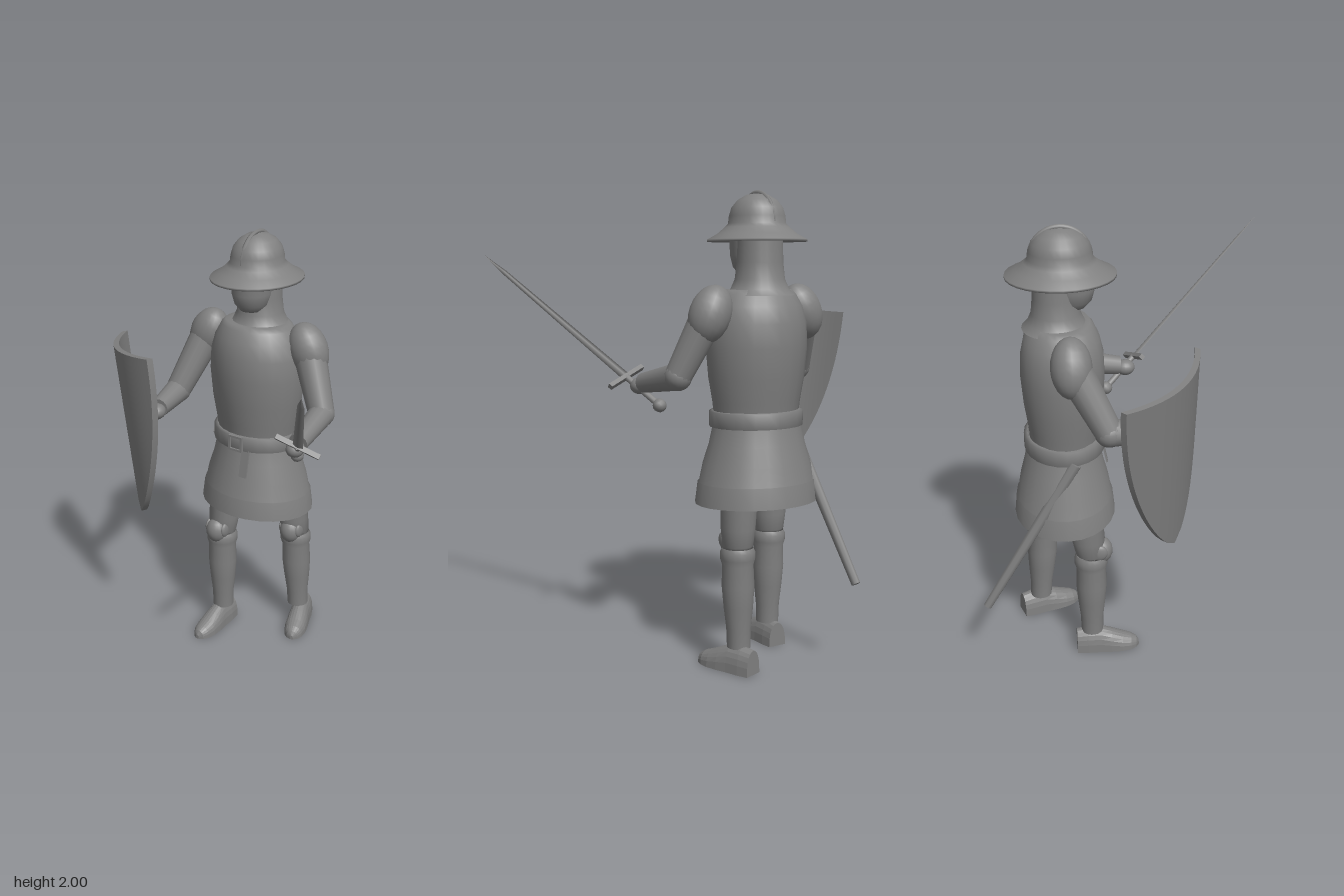
import * as THREE from 'three';

const V = (x, y, z) => new THREE.Vector3(x, y, z);

export function createModel() {
  const root = new THREE.Group();
  const steel = new THREE.MeshStandardMaterial({ color: 0x808080, side: THREE.DoubleSide });
  steel.name = 'steelGrey';

  const add = (name, geo, parent = root) => {
    const m = new THREE.Mesh(geo, steel);
    m.name = name;
    parent.add(m);
    return m;
  };
  // Turned part: profile of [radius, y], squashed along z, leaning towards its top
  const turned = (name, profile, x, z, depth = 1, leanX = 0, leanZ = 0, sides = 24) => {
    const geo = new THREE.LatheGeometry(profile.map(([r, y]) => new THREE.Vector2(r, y)), sides);
    const p = geo.attributes.position;
    const y0 = profile[0][1], h = profile[profile.length - 1][1] - y0;
    for (let i = 0; i < p.count; i++) {
      const t = (p.getY(i) - y0) / h;
      p.setXYZ(i, p.getX(i) + x + leanX * t, p.getY(i), p.getZ(i) * depth + z + leanZ * t);
    }
    return add(name, geo);
  };
  const ball = (name, c, sx, sy, sz) => {
    const m = add(name, new THREE.SphereGeometry(1, 18, 12));
    m.position.copy(c);
    m.scale.set(sx, sy, sz);
    return m;
  };
  const rod = (name, a, b, ra, rb, sides = 14) => {
    const m = add(name, new THREE.CylinderGeometry(rb, ra, a.distanceTo(b), sides));
    m.position.copy(a).lerp(b, 0.5);
    m.quaternion.setFromUnitVectors(V(0, 1, 0), b.clone().sub(a).normalize());
    return m;
  };
  const box = (name, w, h, d, x, y, z) => {
    const m = add(name, new THREE.BoxGeometry(w, h, d));
    m.position.set(x, y, z);
    return m;
  };

  const CX = -0.1, CZ = -0.295;

  // Head, mail neck and brimmed helmet
  turned('face', [[0, 1.645], [0.05, 1.65], [0.075, 1.68], [0.088, 1.73], [0.09, 1.85]], CX, -0.25, 1.12);
  turned('mailNeck', [[0.15, 1.565], [0.125, 1.59], [0.107, 1.63], [0.099, 1.7], [0.095, 1.83]], CX, -0.315, 0.95);
  const helmet = turned('helmet', [[0.192, 1.793], [0.2, 1.785], [0.2, 1.795], [0.16, 1.818], [0.13, 1.845], [0.116, 1.86],
    [0.113, 1.89], [0.103, 1.925], [0.08, 1.955], [0.045, 1.977], [0, 1.984]], CX, 0, 1.135, 0, 0, 28);
  helmet.position.z = -0.29;
  const crest = add('helmetCrest', new THREE.TorusGeometry(0.122, 0.01, 6, 24, Math.PI));
  crest.rotation.y = Math.PI / 2;
  crest.position.set(CX, 1.865, -0.29);

  // Breastplate, belt and skirt
  turned('breastplate', [[0.19, 1.04], [0.2, 1.12], [0.218, 1.22], [0.23, 1.35], [0.225, 1.45], [0.205, 1.52],
    [0.175, 1.57], [0.155, 1.588], [0.115, 1.588]], CX, CZ, 0.77);
  turned('belt', [[0.19, 1.012], [0.21, 1.015], [0.21, 1.08], [0.19, 1.083]], CX, CZ, 0.83);
  turned('skirt', [[0.28, 0.69], [0.268, 0.78], [0.262, 0.78], [0.245, 0.86], [0.218, 0.94], [0.198, 1.03]], CX, -0.302, 0.79);
  for (const s of [-1, 1]) {
    box('buckleSide', 0.01, 0.07, 0.014, CX + s * 0.032, 1.048, -0.12);
    box('buckleBar', 0.07, 0.01, 0.014, CX, 1.048 + s * 0.032, -0.12);
  }
  const strap = box('beltStrap', 0.04, 0.14, 0.008, -0.053, 0.96, -0.122);
  strap.rotation.x = -0.2;

  // Legs: the right one stands forward
  const legs = [
    { side: 'right', x: -0.235, z: -0.2, ankleX: -0.232, ankleZ: -0.2, hipX: 0.02, hipZ: -0.04, heel: [-0.238, -0.272], turn: 0 },
    { side: 'left', x: 0.06, z: -0.4, ankleX: 0.068, ankleZ: -0.425, hipX: -0.035, hipZ: 0.04, heel: [0.055, -0.515], turn: 0.33 },
  ];
  // Boot cross-sections along its length: [z, half width, height]
  const bootSections = [[0, 0.043, 0.105], [0.05, 0.049, 0.112], [0.11, 0.05, 0.112], [0.16, 0.054, 0.092],
    [0.21, 0.053, 0.07], [0.25, 0.044, 0.055], [0.275, 0.028, 0.04], [0.287, 0.008, 0.02]];
  const bootGeometry = () => {
    const n = 12, pos = [], idx = [];
    for (const [z, w, h] of bootSections)
      for (let i = 0; i <= n; i++) {
        const a = (i / n) * Math.PI;
        pos.push(w * Math.cos(a), h * Math.sin(a) ** 0.75, z);
      }
    const rows = bootSections.length, k = n + 1;
    for (let r = 0; r < rows - 1; r++)
      for (let i = 0; i < k; i++) {
        const a = r * k + i, b = r * k + (i + 1) % k;
        idx.push(a, b, a + k, b, b + k, a + k);
      }
    for (const r of [0, rows - 1])
      for (let i = 1; i < n; i++) {
        const a = r * k;
        if (r) idx.push(a, a + i, a + i + 1);
        else idx.push(a, a + i + 1, a + i);
      }
    const g = new THREE.BufferGeometry();
    g.setAttribute('position', new THREE.Float32BufferAttribute(pos, 3));
    g.setIndex(idx);
    const flat = g.toNonIndexed();
    flat.computeVertexNormals();
    return flat;
  };
  for (const l of legs) {
    turned(l.side + 'Greave', [[0.05, 0.1], [0.052, 0.18], [0.062, 0.27], [0.069, 0.36], [0.066, 0.45], [0.074, 0.475],
      [0.074, 0.505], [0.066, 0.522]], l.ankleX, l.ankleZ, 1, l.x - l.ankleX, l.z - l.ankleZ, 18);
    turned(l.side + 'Thigh', [[0.05, 0.515], [0.066, 0.53], [0.073, 0.6], [0.078, 0.7], [0.082, 0.86]], l.x, l.z, 1, l.hipX, l.hipZ, 18);
    ball(l.side + 'KneeCop', V(l.x, 0.54, l.z + 0.045), 0.052, 0.062, 0.052);
    for (const s of [-1, 1]) ball(l.side + 'KneeWing', V(l.x + s * 0.045, 0.55, l.z + 0.035), 0.015, 0.038, 0.036);
    const boot = add(l.side + 'Boot', bootGeometry());
    boot.position.set(l.heel[0], 0, l.heel[1]);
    boot.rotation.y = l.turn;
  }

  // Arms, bent forward at the elbow
  const arms = [
    { side: 'left', s: 1, shoulder: V(0.15, 1.5, -0.325), elbow: V(0.265, 1.235, -0.26), wrist: V(0.295, 1.19, -0.02), hand: V(0.3, 1.175, 0.01) },
    { side: 'right', s: -1, shoulder: V(-0.35, 1.5, -0.27), elbow: V(-0.43, 1.235, -0.13), wrist: V(-0.395, 1.215, 0.06), hand: V(-0.385, 1.21, 0.09) },
  ];
  for (const a of arms) {
    const p = ball(a.side + 'Pauldron', a.shoulder.clone().add(V(0, -0.01, 0)), 0.09, 0.125, 0.085);
    p.rotation.z = a.s * 0.4;
    rod(a.side + 'UpperArm', a.shoulder, a.elbow, 0.075, 0.058);
    ball(a.side + 'Elbow', a.elbow, 0.059, 0.059, 0.059);
    rod(a.side + 'Forearm', a.elbow, a.wrist, 0.058, 0.043);
    ball(a.side + 'Hand', a.hand, 0.04, 0.036, 0.045);
  }

  // Sword: four-sided tapering blade, crossguard, grip and pommel
  const guard = V(0.34, 1.212, 0.055), tip = V(0.735, 1.735, 0.685);
  const along = tip.clone().sub(guard), length = along.length();
  along.normalize();
  const across = V(0.185, -0.07, -0.055);
  across.addScaledVector(along, -across.dot(along)).normalize();
  const sword = new THREE.Group();
  sword.name = 'sword';
  sword.position.copy(guard);
  sword.quaternion.setFromRotationMatrix(new THREE.Matrix4().makeBasis(across, along, across.clone().cross(along)));
  root.add(sword);
  const blade = add('blade', new THREE.CylinderGeometry(0.6, 1, length * 0.85, 4), sword);
  blade.scale.set(0.007, 1, 0.024);
  blade.rotation.y = Math.PI / 2;
  blade.position.y = length * 0.425;
  const point = add('bladePoint', new THREE.ConeGeometry(0.6, length * 0.15, 4), sword);
  point.scale.set(0.007, 1, 0.024);
  point.rotation.y = Math.PI / 2;
  point.position.y = length * 0.925;
  add('crossguard', new THREE.BoxGeometry(0.205, 0.02, 0.022), sword);
  add('grip', new THREE.CylinderGeometry(0.014, 0.014, 0.2, 10), sword).position.y = -0.1;
  add('pommel', new THREE.SphereGeometry(0.03, 12, 8), sword).position.y = -0.2;

  // Curved shield: a slab tapered to a point and bowed outward
  const H = 0.79, W = 0.275;
  const slab = new THREE.BoxGeometry(2, 1, 0.026, 16, 20, 1);
  const sp = slab.attributes.position;
  for (let i = 0; i < sp.count; i++) {
    const t = 0.5 - sp.getY(i);
    const u = sp.getX(i) * Math.max(0.004, W * Math.max(0, 1 - t ** 2.2) ** 0.7);
    sp.setXYZ(i, u, -t * H, sp.getZ(i) + 0.085 * (1 - (u / W) ** 2) - 0.085);
  }
  slab.computeVertexNormals();
  const shield = add('shield', slab);
  const up = V(-0.133, 0.99, 0.009).normalize();
  const side = V(0.77, 0.12, 0.62);
  side.addScaledVector(up, -side.dot(up)).normalize();
  shield.quaternion.setFromRotationMatrix(new THREE.Matrix4().makeBasis(side, up, side.clone().cross(up)));
  shield.position.set(-0.555, 1.49, 0.137);
  rod('shieldGrip', V(-0.385, 1.21, 0.09), V(-0.45, 1.2, 0.16), 0.015, 0.015, 8);

  // Scabbard hanging behind the right hip
  rod('scabbard', V(-0.36, 0.365, -0.665), V(-0.295, 1.02, -0.26), 0.019, 0.027, 8);

  return root;
}
